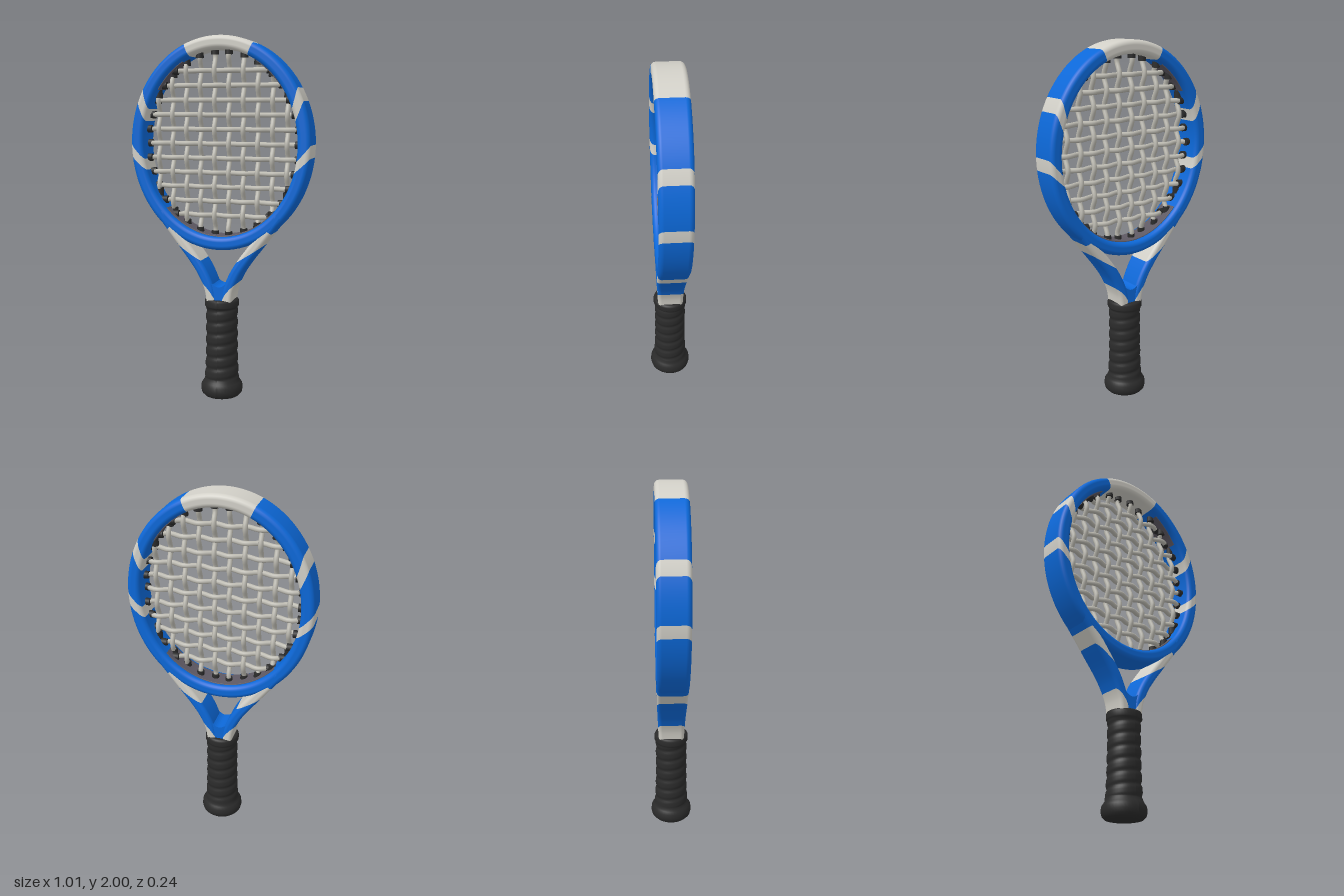
import * as THREE from 'three';

const material = (name, color, side = THREE.FrontSide) => {
  const m = new THREE.MeshStandardMaterial({ color, side });
  m.name = name;
  return m;
};

export function createModel() {
  const group = new THREE.Group();
  const blue = material('blue', 0x0c68d8, THREE.DoubleSide);
  const white = material('offWhite', 0xd2d0c8, THREE.DoubleSide);
  const black = material('gripBlack', 0x2b2b2b);
  const stringGrey = material('stringGrey', 0xbdbbb2);
  const stripGrey = material('stripGrey', 0x5e5963, THREE.DoubleSide);

  const add = (name, geometry, mat) => {
    const mesh = new THREE.Mesh(geometry, mat);
    mesh.name = name;
    group.add(mesh);
    return mesh;
  };

  // Rounded rectangle section: u across the frame, v along z
  const section = (hu, hv, r) => {
    const out = [];
    [[1, 1], [-1, 1], [-1, -1], [1, -1]].forEach(([su, sv], k) => {
      for (let i = 0; i <= 5; i++) {
        const a = (k + i / 5) * Math.PI / 2;
        const nu = Math.cos(a), nv = Math.sin(a);
        out.push({ u: su * (hu - r) + r * nu, v: sv * (hv - r) + r * nv, nu, nv });
      }
    });
    return out;
  };

  // Sweeps the section along a planar path from t0 to t1; s0 and s1 slant the two ends.
  // side = -1 mirrors the result in x.
  function sweep(path, size, [t0, t1, s0 = 0, s1 = 0], side, steps = 24) {
    const pos = [], nor = [], idx = [];
    let n = 0;
    for (let i = 0; i <= steps; i++) {
      const f = i / steps, t = t0 + (t1 - t0) * f, slant = s0 + (s1 - s0) * f;
      const [hu, hv, r] = size(t);
      const ring = section(hu, hv, r);
      n = ring.length;
      for (const q of ring) {
        const tt = t + slant * (hu - q.u);
        const p = path(tt), a = path(tt - 0.001), b = path(tt + 0.001);
        const d = b.sub(a).normalize();
        const nx = -d.y, ny = d.x;
        pos.push(side * (p.x + nx * q.u), p.y + ny * q.u, q.v);
        nor.push(side * nx * q.nu, ny * q.nu, q.nv);
      }
    }
    for (let i = 0; i < steps; i++) {
      for (let j = 0; j < n; j++) {
        const a = i * n + j, b = i * n + (j + 1) % n, c = a + n, d = b + n;
        if (side > 0) idx.push(a, b, c, b, d, c);
        else idx.push(a, c, b, b, c, d);
      }
    }
    const g = new THREE.BufferGeometry();
    g.setAttribute('position', new THREE.Float32BufferAttribute(pos, 3));
    g.setAttribute('normal', new THREE.Float32BufferAttribute(nor, 3));
    g.setIndex(idx);
    return g;
  }

  // Paths of the right half of the head and of the throat arm
  const CY = 1.427;
  const headPath = a => new THREE.Vector2(0.468 * Math.sin(a), CY + 0.538 * Math.cos(a));
  const stripPath = a => {
    const n = new THREE.Vector2(Math.sin(a) / 0.468, Math.cos(a) / 0.538).normalize();
    return headPath(a).addScaledVector(n, -0.037);
  };
  const armCurve = new THREE.SplineCurve([
    [0.334, 1.05], [0.285, 0.985], [0.205, 0.88], [0.137, 0.79], [0.09, 0.715], [0.055, 0.63], [0.042, 0.54],
  ].map(p => new THREE.Vector2(...p)));
  const armPath = t => armCurve.getPoint(THREE.MathUtils.clamp(t, 0, 1));
  const headSize = () => [0.036, 0.085, 0.026];
  const armSize = t => [0.029, 0.0865 - 0.016 * t, 0.022];
  const stripSize = () => [0.004, 0.055, 0.003];

  const headBands = [
    ['headTopBand', white, [0, 0.386]],
    ['headUpperFrame', blue, [0.386, 1.016, 0, 2.4]],
    ['headUpperBand', white, [1.016, 1.154, 2.4, 2.4]],
    ['headSideFrame', blue, [1.154, 1.566, 2.4, 2.4]],
    ['headLowerBand', white, [1.566, 1.688, 2.4, 2.4]],
    ['headLowerFrame', blue, [1.688, Math.PI, 2.4, 0]],
  ];
  const armBands = [
    ['armTop', blue, [0, 0.19]],
    ['armBand', white, [0.19, 0.3, 0, 4.1]],
    ['armMiddle', blue, [0.3, 0.735, 4.1, 3.6]],
    ['armFoot', white, [0.735, 1, 3.6, 0]],
  ];
  for (const side of [1, -1]) {
    const label = side > 0 ? 'Left' : 'Right';
    for (const [name, mat, span] of headBands) add(name + label, sweep(headPath, headSize, span, side), mat);
    for (const [name, mat, span] of armBands) add(name + label, sweep(armPath, armSize, span, side), mat);
    // Grommet strips lining the inside of the head
    add('lowerStrip' + label, sweep(stripPath, stripSize, [2.35, Math.PI], side), stripGrey);
    add('upperStrip' + label, sweep(stripPath, stripSize, [0.5, 0.95], side), stripGrey);
  }

  // Web filling the bottom of the throat
  const web = new THREE.Shape();
  web.moveTo(-0.045, 0.55);
  web.lineTo(0.045, 0.55);
  web.lineTo(0.05, 0.675);
  web.quadraticCurveTo(0, 0.615, -0.05, 0.675);
  const webGeo = new THREE.ExtrudeGeometry(web, { depth: 0.136, bevelEnabled: false });
  webGeo.translate(0, 0, -0.068);
  add('throatWeb', webGeo, blue);

  // Woven strings with a grommet at each end
  const RX = 0.432, RY = 0.502, DX = 0.081, DY = 0.0785, X0 = -4.5 * DX, Y0 = 1.035, WEAVE = 0.013;
  const grommetGeo = new THREE.CylinderGeometry(0.02, 0.022, 0.045, 10);
  function addString(name, point, from, to, vertical) {
    const pts = [];
    for (let i = 0; i <= 50; i++) pts.push(point(from + (to - from) * i / 50));
    add(name, new THREE.TubeGeometry(new THREE.CatmullRomCurve3(pts), 60, 0.0135, 8), stringGrey);
    for (const end of [pts[0], pts[50]]) {
      const grommet = add('grommet', grommetGeo, black);
      grommet.position.copy(end);
      if (!vertical) grommet.rotation.z = Math.PI / 2;
    }
  }
  for (let i = 0; i < 10; i++) {
    const x = X0 + i * DX, h = RY * Math.sqrt(1 - (x / RX) ** 2);
    const point = y => new THREE.Vector3(x, y, WEAVE * Math.cos(Math.PI * ((y - Y0) / DY + i)));
    addString('mainString', point, CY - h, CY + h, true);
  }
  for (let j = 0; j < 11; j++) {
    const y = Y0 + j * DY, w = RX * Math.sqrt(1 - ((y - CY) / RY) ** 2);
    const point = x => new THREE.Vector3(x, y, -WEAVE * Math.cos(Math.PI * ((x - X0) / DX + j)));
    addString('crossString', point, -w, w, false);
  }

  // Handle with a spiral grip wrap, collar and flared butt
  const profile = [[0, 0.005], [0.07, 0.007], [0.1, 0.014], [0.113, 0.028], [0.118, 0.05], [0.115, 0.075], [0.105, 0.09], [0.099, 0.1]];
  for (let i = 0; i <= 60; i++) {
    const f = i / 60;
    profile.push([0.0875 + 0.008 * (1 - f) ** 4, 0.112 + 0.408 * f]);
  }
  profile.push([0.092, 0.526], [0.096, 0.533], [0.096, 0.558], [0.091, 0.568], [0.08, 0.571], [0, 0.571]);
  const handle = new THREE.LatheGeometry(profile.map(p => new THREE.Vector2(...p)), 40);
  const hp = handle.attributes.position;
  for (let i = 0; i < hp.count; i++) {
    const x = hp.getX(i), y = hp.getY(i), z = hp.getZ(i);
    if (y < 0.11 || y > 0.522) continue;
    const turn = y / 0.066 + Math.atan2(z, x) / (2 * Math.PI);
    const k = 1.02 - 0.07 * Math.abs(Math.cos(Math.PI * turn)) ** 6;
    hp.setX(i, x * k);
    hp.setZ(i, z * k);
  }
  handle.computeVertexNormals();
  add('handleGrip', handle, black);

  return group;
}
